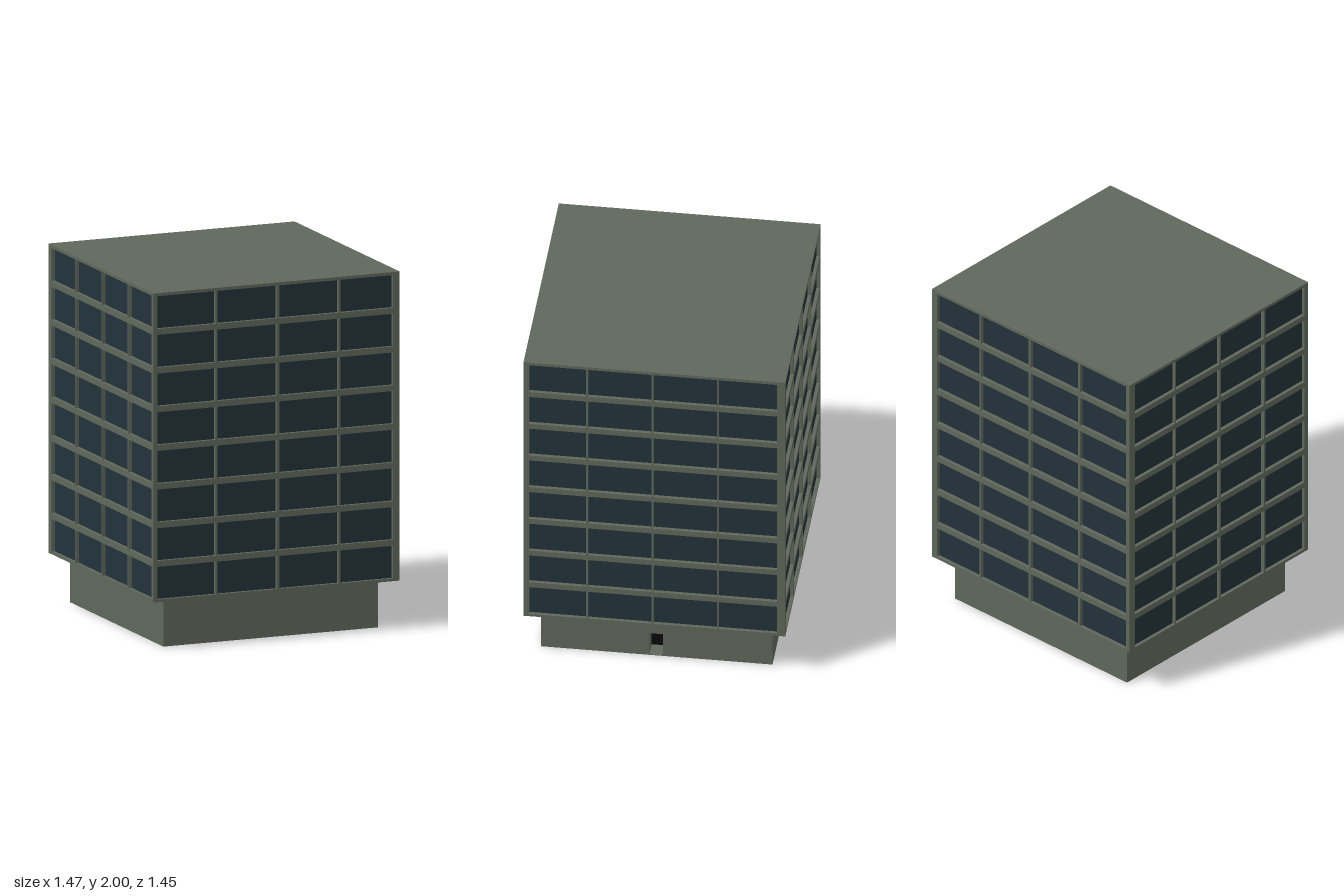
import * as THREE from 'three';

const wallMat = new THREE.MeshStandardMaterial({ color: 0x5f675b });
const glassMat = new THREE.MeshStandardMaterial({ color: 0x22323a });
const doorMat = new THREE.MeshStandardMaterial({ color: 0x080808 });

// Overall sizes
const HX = 0.735, HZ = 0.723;        // half sizes of the tower
const Y0 = 0.27, Y1 = 2;             // tower bottom and top
const HB = 0.64;                     // half size of the base
const RECESS = 0.02;                 // depth of the window reveals

// Window columns along x and z, and the rows
const COLS_X = [[-0.71, -0.365], [-0.352, 0.003], [0.016, 0.37], [0.381, 0.696]];
const COLS_Z = [[-0.677, -0.354], [-0.347, 0.005], [0.016, 0.365], [0.378, 0.693]];
const ROWS = 8, ROW_Y = 0.285, ROW_H = 0.183, PITCH = 0.2164;

function rect(Type, x0, y0, x1, y1) {
  const p = new Type();
  p.moveTo(x0, y0);
  p.lineTo(x1, y0);
  p.lineTo(x1, y1);
  p.lineTo(x0, y1);
  p.closePath();
  return p;
}

function add(parent, name, geometry, material) {
  const mesh = new THREE.Mesh(geometry, material);
  mesh.name = name;
  parent.add(mesh);
  return mesh;
}

// Box given by its minimum and maximum corners
function box(parent, name, material, x0, y0, z0, x1, y1, z1) {
  const g = new THREE.BoxGeometry(x1 - x0, y1 - y0, z1 - z0);
  g.translate((x0 + x1) / 2, (y0 + y1) / 2, (z0 + z1) / 2);
  return add(parent, name, g, material);
}

// Wall panel with a grid of window openings
function windowWall(half, cols) {
  const shape = rect(THREE.Shape, -half, Y0, half, Y1);
  for (let r = 0; r < ROWS; r++) {
    const y = ROW_Y + r * PITCH;
    for (const [a, b] of cols) shape.holes.push(rect(THREE.Path, a, y, b, y + ROW_H));
  }
  return new THREE.ExtrudeGeometry(shape, { depth: RECESS, bevelEnabled: false });
}

export function createModel() {
  const model = new THREE.Group();
  model.name = 'officeBlock';

  // Tower walls: front and back, then the two sides
  const tower = new THREE.Group();
  tower.name = 'tower';
  model.add(tower);
  const ix = HX - RECESS, iz = HZ - RECESS;
  const longWall = windowWall(HX, COLS_X);
  add(tower, 'frontWall', longWall, wallMat).position.z = iz;
  add(tower, 'backWall', longWall, wallMat).position.z = -HZ;
  // turning about y maps the shape's x to -z
  const sideWall = windowWall(iz, COLS_Z.map(([a, b]) => [-b, -a])).rotateY(Math.PI / 2);
  add(tower, 'leftWall', sideWall, wallMat).position.x = ix;
  add(tower, 'rightWall', sideWall, wallMat).position.x = -HX;

  // Glass core behind the openings, closed by roof and floor slabs
  box(tower, 'windowGlass', glassMat, -ix, Y0 + 0.01, -iz, ix, Y1 - 0.01, iz);
  box(tower, 'roof', wallMat, -ix, Y1 - 0.01, -iz, ix, Y1, iz);
  box(tower, 'towerFloor', wallMat, -ix, Y0, -iz, ix, Y0 + 0.01, iz);

  // Base, with a doorway cut into its left wall
  const base = new THREE.Group();
  base.name = 'base';
  model.add(base);
  const doorDepth = 0.1, xi = HB - doorDepth;
  box(base, 'baseBlock', wallMat, -HB, 0, -HB, xi, Y0, HB);
  const entrance = rect(THREE.Shape, -HB, 0, HB, Y0);
  entrance.holes.push(rect(THREE.Path, -0.04, 0.003, 0.036, 0.148));
  const entranceGeo = new THREE.ExtrudeGeometry(entrance, { depth: doorDepth, bevelEnabled: false });
  entranceGeo.rotateY(Math.PI / 2).translate(xi, 0, 0);
  add(base, 'entranceWall', entranceGeo, wallMat);
  box(base, 'door', doorMat, xi, 0.003, -0.036, xi + 0.006, 0.148, 0.04);

  return model;
}
